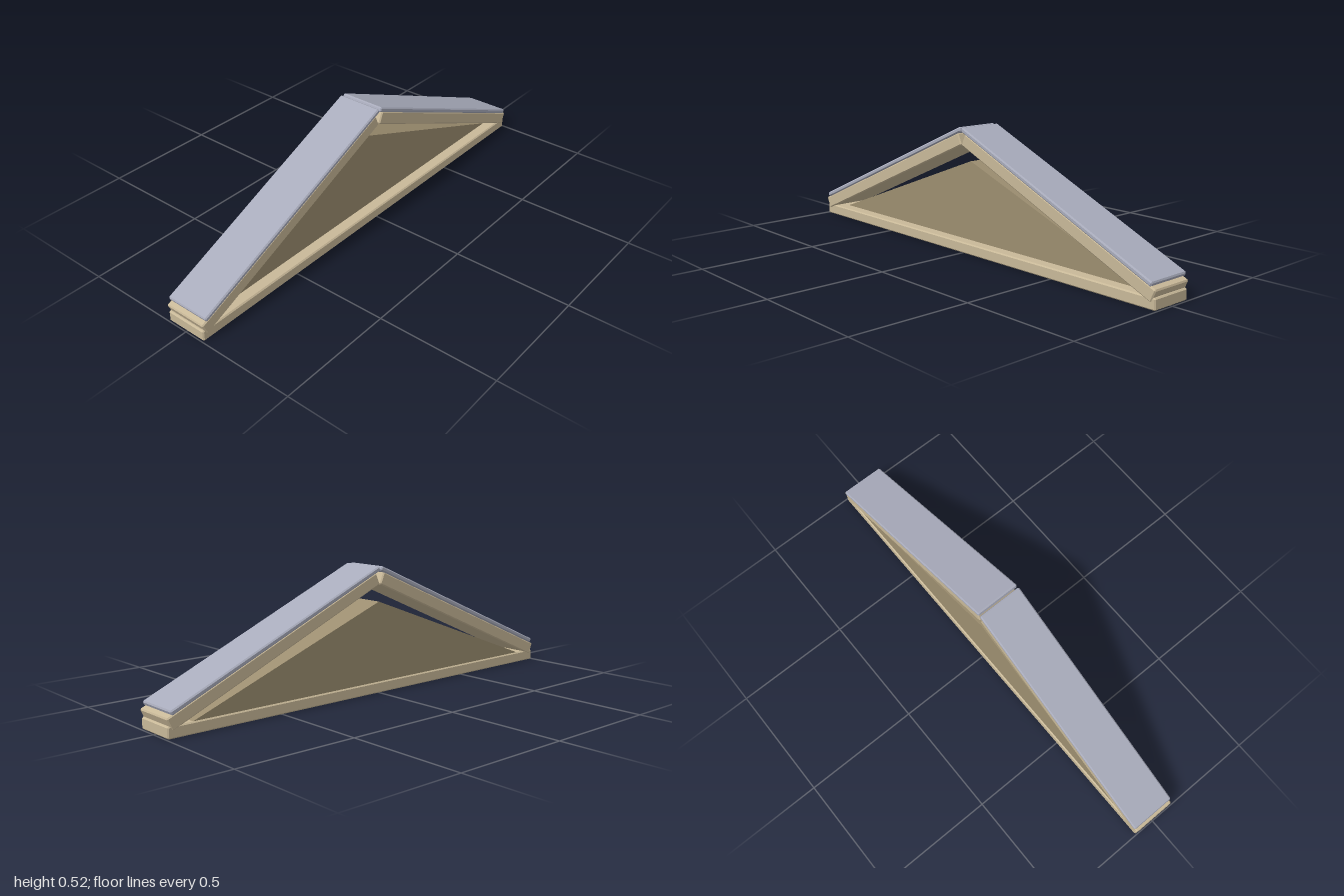
import * as THREE from 'three';
import { ConvexGeometry } from 'three/addons/geometries/ConvexGeometry.js';

// Box with chamfered edges, spanning x 0..-w, y 0..h, z z0..z1
function chamferBox(w, h, z0, z1, c) {
  const half = [w / 2, h / 2, (z1 - z0) / 2];
  const points = [];
  for (const sx of [-1, 1]) for (const sy of [-1, 1]) for (const sz of [-1, 1]) {
    for (let axis = 0; axis < 3; axis++) {
      const s = [sx, sy, sz];
      const p = half.map((v, i) => s[i] * (i === axis ? v : v - c));
      points.push(new THREE.Vector3(...p));
    }
  }
  return new ConvexGeometry(points).translate(-w / 2, h / 2, (z0 + z1) / 2);
}

export function createModel() {
  const group = new THREE.Group();
  const material = (name, color) => {
    const m = new THREE.MeshStandardMaterial({ color });
    m.name = name;
    return m;
  };
  const stone = material('light stone', 0xc8b898);
  const panelStone = material('dark stone', 0x9c8e70);
  const slate = material('slate', 0xa8abbb);

  const add = (name, geometry, mat) => {
    const mesh = new THREE.Mesh(geometry, mat);
    mesh.name = name;
    group.add(mesh);
    return mesh;
  };

  // Horizontal base beam
  add('baseBeam', chamferBox(1.99, 0.046, -0.092, 0.09, 0.005), stone).position.set(0.995, 0, 0);

  // Triangular infill panel, set back from the front
  const triangle = new THREE.Shape([
    new THREE.Vector2(-0.9, 0.042),
    new THREE.Vector2(0.9, 0.042),
    new THREE.Vector2(0, 0.38),
  ]);
  const panel = new THREE.ExtrudeGeometry(triangle, { depth: 0.127, bevelEnabled: false });
  add('infillPanel', panel.translate(0, 0, -0.086), panelStone);

  // Sloping beams and roof slabs, whose lower inner corners meet at the ridge
  const slope = Math.atan(0.435);
  for (const [side, turn] of [['right', 0], ['left', Math.PI]]) {
    const sloped = (name, geometry, y, mat) => {
      geometry.rotateZ(slope).translate(0, y, 0);
      if (turn) geometry.rotateY(turn);
      add(side + name, geometry, mat);
    };
    sloped('RakingBeam', chamferBox(1.066, 0.053, -0.094, 0.094, 0.005), 0.452, stone);
    sloped('RoofSlab', chamferBox(1.066, 0.02, -0.098, 0.098, 0.005), 0.508, slate);
  }
  return group;
}
